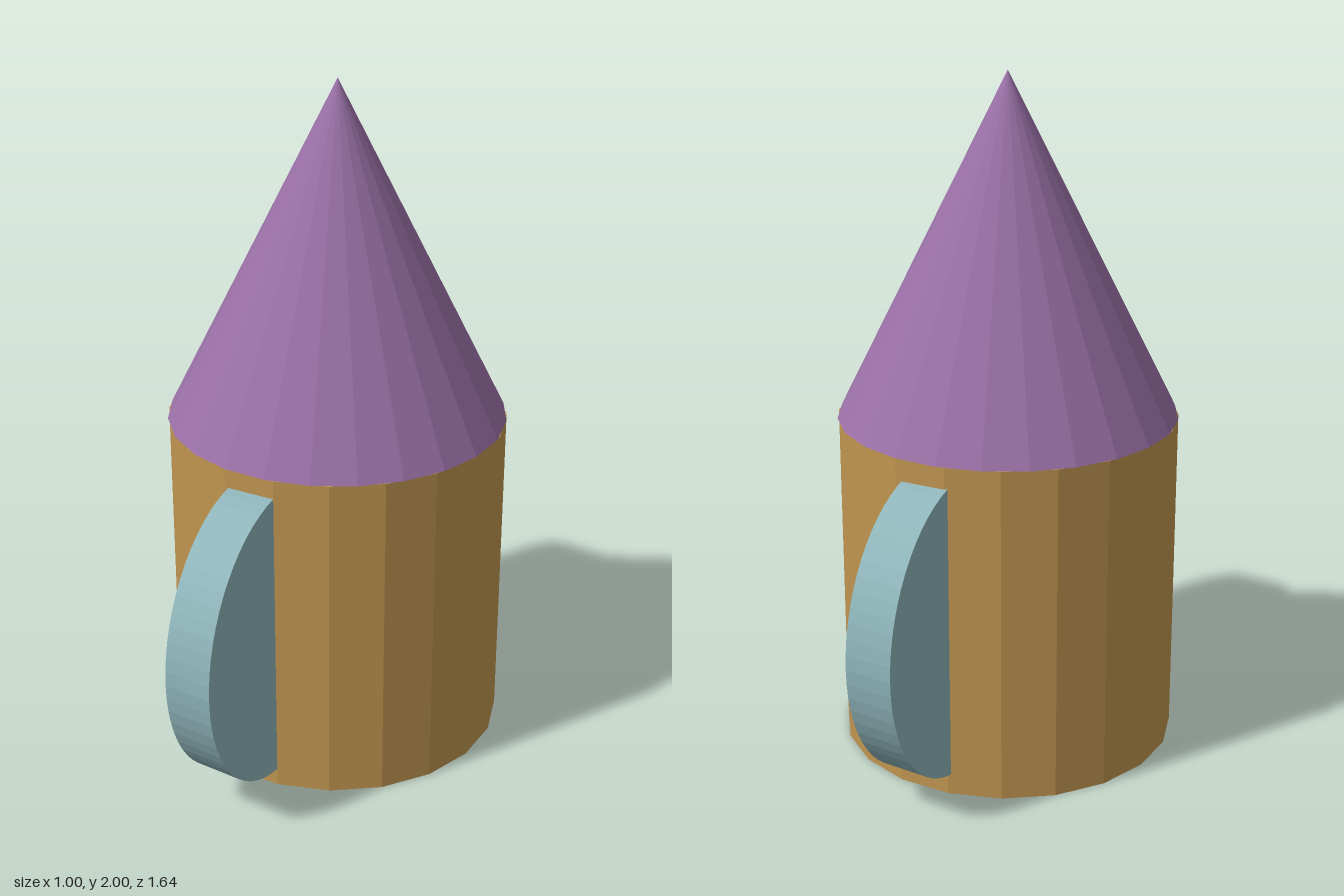
import * as THREE from 'three';

const material = (color) => new THREE.MeshStandardMaterial({ color, flatShading: true });

export function createModel() {
  const model = new THREE.Group();
  model.name = 'rocket';

  const add = (name, geometry, mat, x, y, z) => {
    const mesh = new THREE.Mesh(geometry, mat);
    mesh.name = name;
    mesh.position.set(x, y, z);
    model.add(mesh);
  };

  // Faceted body and pointed nose, slightly behind the centre
  const axisZ = -0.025;
  add('body', new THREE.CylinderGeometry(0.5, 0.5, 1, 20), material(0xc09550), 0, 0.5, axisZ);
  add('noseCone', new THREE.ConeGeometry(0.5, 1, 24), material(0x9a70a6), 0, 1.5, axisZ);

  // Fins: oval discs, slightly skewed, sunk into the front and back of the body
  const finMaterial = material(0x8fb5ba);
  for (const [name, s] of [['frontFin', 1], ['backFin', -1]]) {
    const fin = new THREE.CylinderGeometry(1, 1, 1, 64);
    fin.applyMatrix4(new THREE.Matrix4().makeBasis(
      new THREE.Vector3(0.076 * s, 0, 0.395 * s), // outward radius
      new THREE.Vector3(0.146 * s, 0, -0.015 * s), // thickness
      new THREE.Vector3(0, 0.448, 0), // upright radius
    ));
    add(name, fin, finMaterial, 0.074 * s, 0.5, 0.42 * s - 0.003);
  }

  return model;
}
